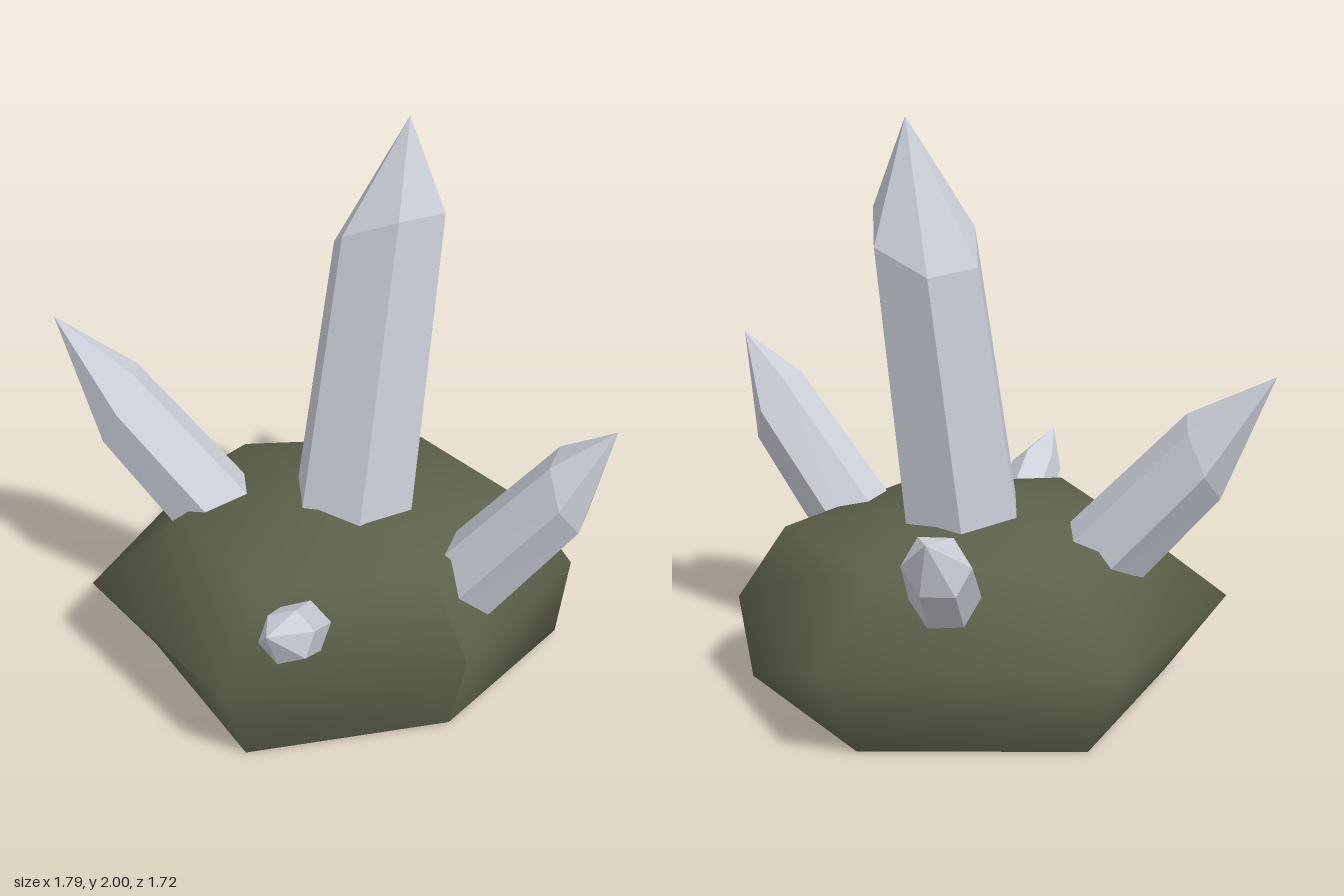
import * as THREE from 'three';

const rockMat = new THREE.MeshStandardMaterial({ color: 0x5e614a });
rockMat.name = 'mossy rock';
const crystalMat = new THREE.MeshStandardMaterial({ color: 0xcdd0da, flatShading: true });
crystalMat.name = 'pale crystal';

// Rock cross-sections, six corners each, counterclockwise from the front left
const rings = [
  [[0.4, 0.01, 0.5], [0.85, 0.02, 0.03], [0.45, 0.01, -0.55], [-0.3, 0.005, -0.55], [-0.6, 0.04, 0.03], [-0.3, 0.005, 0.6]],
  [[0.44, 0.32, 0.58], [0.89, 0.32, 0.03], [0.55, 0.33, -0.68], [-0.4, 0.33, -0.68], [-0.81, 0.32, 0.03], [-0.37, 0.32, 0.7]],
  [[0.33, 0.6, 0.45], [0.72, 0.58, 0.02], [0.4, 0.585, -0.43], [-0.25, 0.585, -0.43], [-0.48, 0.58, 0.02], [-0.25, 0.6, 0.5]],
];
const apex = [0.02, 0.685, 0.08];

function meshFrom(points, index, material, name) {
  const geo = new THREE.BufferGeometry();
  geo.setAttribute('position', new THREE.Float32BufferAttribute(points.flat(), 3));
  geo.setIndex(index);
  geo.computeVertexNormals();
  const mesh = new THREE.Mesh(geo, material);
  mesh.name = name;
  return mesh;
}

function makeRock() {
  const rock = new THREE.Group();
  rock.name = 'rock';
  // Smooth sides with a seam at the first corner
  const points = [], index = [];
  for (const ring of rings) points.push(...ring, ring[0]);
  points.push(apex);
  for (let i = 0; i < 6; i++) {
    for (let r = 0; r < 2; r++) {
      const a = r * 7 + i, b = a + 7;
      index.push(a, a + 1, b + 1, a, b + 1, b);
    }
    index.push(14 + i, 15 + i, 21);
  }
  rock.add(meshFrom(points, index, rockMat, 'rockBody'));
  // Flat underside
  const under = [];
  for (let i = 0; i < 6; i++) under.push((i + 1) % 6, i, 6);
  rock.add(meshFrom([...rings[0], [0.05, 0.005, 0]], under, rockMat, 'rockUnderside'));
  return rock;
}

// Six-sided crystal: prism from base to shoulder, then a point. The shoulder ring is slanted.
function makeCrystal({ name, base, shoulder, tip, rBase, rShoulder, slant, spin }) {
  const b = new THREE.Vector3(...base), s = new THREE.Vector3(...shoulder);
  const axis = s.clone().sub(b).normalize();
  const turn = new THREE.Quaternion().setFromUnitVectors(new THREE.Vector3(0, 1, 0), axis);
  b.addScaledVector(axis, -0.15); // sink into the rock
  const geo = new THREE.CylinderGeometry(0, 1, 1, 6, 2, true).rotateY(spin);
  const pos = geo.attributes.position, p = new THREE.Vector3();
  for (let i = 0; i < pos.count; i++) {
    p.fromBufferAttribute(pos, i);
    const row = Math.round(p.y * 2);
    if (row === 1) {
      p.set(...tip);
    } else {
      p.y = 0;
      p.setLength(row === 0 ? rShoulder : rBase);
      if (row === 0) p.y = p.x * slant[0] + p.z * slant[1];
      p.applyQuaternion(turn).add(row === 0 ? s : b);
    }
    pos.setXYZ(i, p.x, p.y, p.z);
  }
  const flat = geo.toNonIndexed();
  flat.computeVertexNormals();
  const mesh = new THREE.Mesh(flat, crystalMat);
  mesh.name = name;
  return mesh;
}

// spin 0 puts a corner on local z, 30 degrees puts one on local x
const crystals = [
  { name: 'mainCrystal', base: [0.115, 0.67, 0.01], shoulder: [0.225, 1.61, -0.08], tip: [0.285, 2, -0.075],
    rBase: 0.22, rShoulder: 0.187, slant: [0.33, 0.45], spin: 0 },
  { name: 'rightCrystal', base: [-0.41, 0.58, -0.13], shoulder: [-0.685, 0.905, -0.22], tip: [-0.9, 1.2, -0.32],
    rBase: 0.157, rShoulder: 0.14, slant: [0.45, 0], spin: 0 },
  { name: 'leftCrystal', base: [0.51, 0.53, 0.32], shoulder: [0.77, 0.9, 0.435], tip: [0.895, 1.155, 0.505],
    rBase: 0.15, rShoulder: 0.13, slant: [-0.45, -0.25], spin: -0.4 },
  { name: 'backCrystal', base: [0.16, 0.52, -0.5], shoulder: [0.18, 0.715, -0.74], tip: [0.21, 0.83, -0.86],
    rBase: 0.12, rShoulder: 0.108, slant: [0.25, 0.1], spin: Math.PI / 6 },
  { name: 'frontCrystal', base: [-0.11, 0.485, 0.56], shoulder: [-0.165, 0.58, 0.725], tip: [-0.235, 0.685, 0.86],
    rBase: 0.1, rShoulder: 0.09, slant: [-0.2, 0], spin: Math.PI / 6 },
];

export function createModel() {
  const model = new THREE.Group();
  model.name = 'crystalCluster';
  model.add(makeRock(), ...crystals.map(makeCrystal));
  return model;
}
